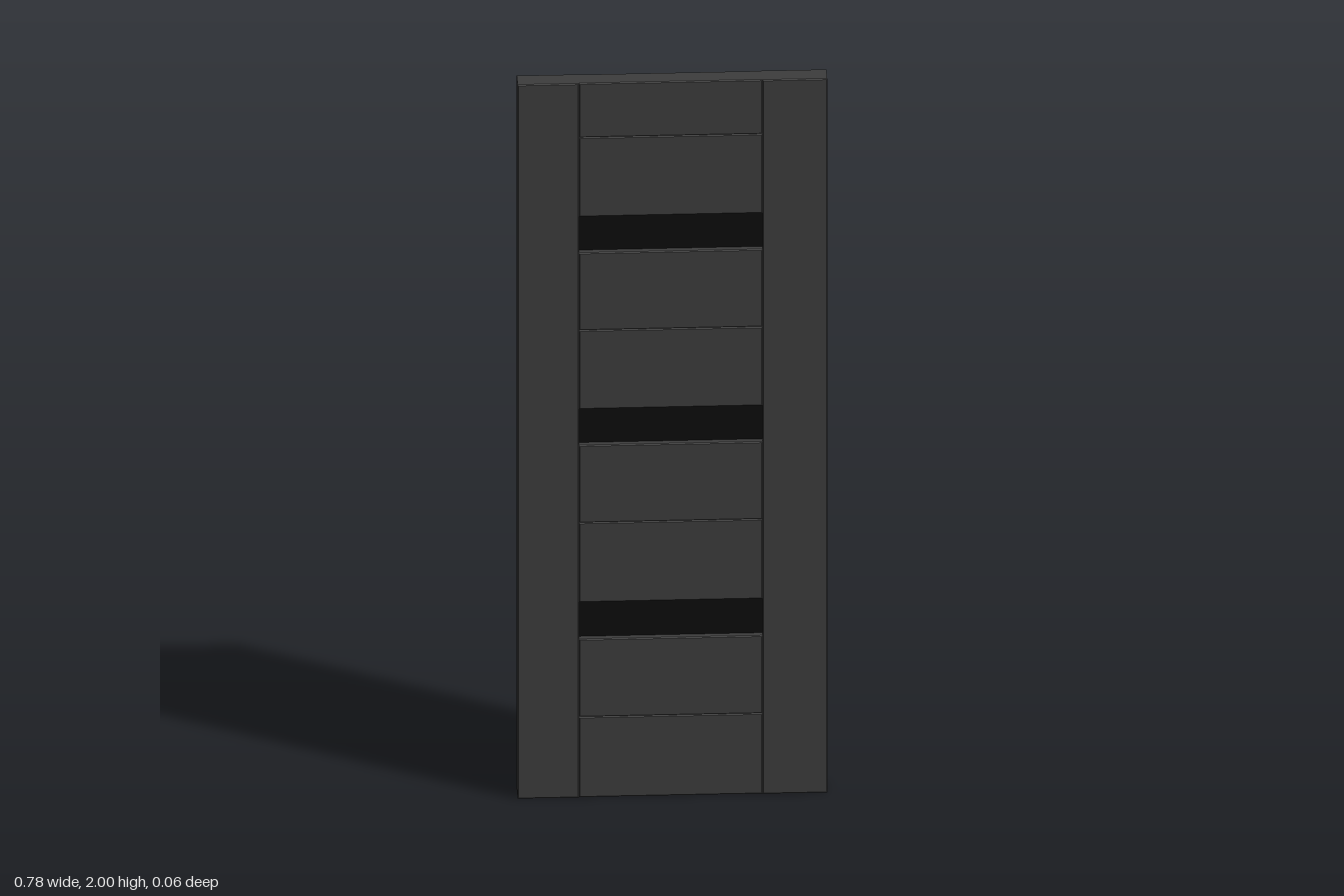
import * as THREE from 'three';

const HALF_WIDTH = 0.39, HEIGHT = 2, DEPTH = 0.056, RAIL_DEPTH = 0.053;
const INNER_LEFT = -0.236, INNER_RIGHT = 0.227;
const BEVEL = 0.0025;

// Board spanning x0..x1, y0..y1, centred on z, with chamfered front and back edges
function board(name, x0, x1, y0, y1, depth, material) {
  const shape = new THREE.Shape([
    new THREE.Vector2(x0 + BEVEL, y0 + BEVEL),
    new THREE.Vector2(x1 - BEVEL, y0 + BEVEL),
    new THREE.Vector2(x1 - BEVEL, y1 - BEVEL),
    new THREE.Vector2(x0 + BEVEL, y1 - BEVEL),
  ]);
  const geometry = new THREE.ExtrudeGeometry(shape, {
    depth: depth - 2 * BEVEL,
    bevelEnabled: true,
    bevelSize: BEVEL,
    bevelThickness: BEVEL,
    bevelSegments: 1,
  });
  geometry.translate(0, 0, BEVEL - depth / 2);
  const mesh = new THREE.Mesh(geometry, material);
  mesh.name = name;
  return mesh;
}

export function createModel() {
  const door = new THREE.Group();
  door.name = 'door';
  const wood = new THREE.MeshStandardMaterial({ color: 0x3c3c3c });
  const glass = new THREE.MeshStandardMaterial({ color: 0x0c0c0c });

  // Full-height stiles
  door.add(board('rightStile', -HALF_WIDTH, INNER_LEFT, 0, HEIGHT, DEPTH, wood));
  door.add(board('leftStile', INNER_RIGHT, HALF_WIDTH, 0, HEIGHT, DEPTH, wood));

  // Horizontal rails between the stiles
  const rails = [
    [0, 0.225], [0.225, 0.443],
    [0.546, 0.769], [0.769, 0.986],
    [1.087, 1.308], [1.308, 1.525],
    [1.626, 1.848], [1.848, HEIGHT],
  ];
  rails.forEach(([y0, y1], i) => {
    door.add(board(`rail${i + 1}`, INNER_LEFT, INNER_RIGHT, y0, y1, RAIL_DEPTH, wood));
  });

  // Recessed glass strips in the gaps
  const gaps = [[0.443, 0.546], [0.986, 1.087], [1.525, 1.626]];
  gaps.forEach(([y0, y1], i) => {
    const pane = new THREE.Mesh(
      new THREE.BoxGeometry(INNER_RIGHT - INNER_LEFT, y1 - y0, 0.018), glass);
    pane.position.set((INNER_LEFT + INNER_RIGHT) / 2, (y0 + y1) / 2, 0);
    pane.name = `glassPane${i + 1}`;
    door.add(pane);
  });

  return door;
}
